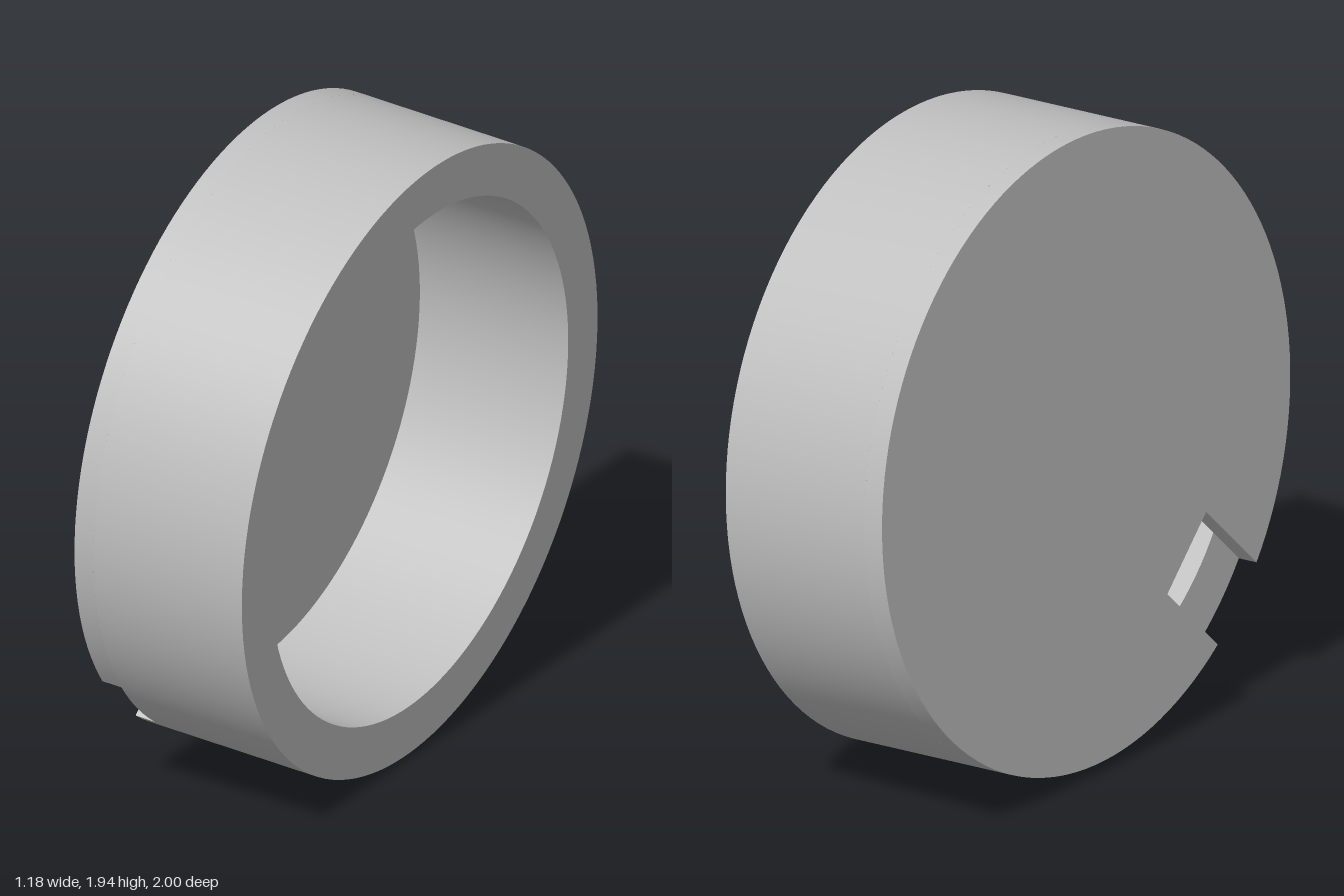
import * as THREE from 'three';
import { toCreasedNormals } from 'three/addons/utils/BufferGeometryUtils.js';

const RADIUS = 0.958, INNER = 0.8, LENGTH = 0.573, FLOOR = 0.065;
const SLOT_HALF = 0.137, SLOT_INNER = 0.632;

export function createModel() {
  const grey = new THREE.MeshStandardMaterial({ color: 0xbfbfbf });
  grey.name = 'plain grey';
  const cap = new THREE.Group();
  cap.name = 'cap';

  // Extrudes a shape along the cap axis with smooth curves and sharp rims
  function addPart(name, shape, start, depth) {
    const geo = new THREE.ExtrudeGeometry(shape, { depth, bevelEnabled: false, curveSegments: 64 });
    geo.translate(0, 0, start);
    const mesh = new THREE.Mesh(toCreasedNormals(geo, 0.5), grey);
    mesh.name = name;
    cap.add(mesh);
  }

  // Closed end: a disc with a rectangular slot cut in from the rim
  const a = Math.asin(SLOT_HALF / RADIUS);
  const disc = new THREE.Shape();
  disc.moveTo(SLOT_INNER, SLOT_HALF);
  disc.lineTo(RADIUS * Math.cos(a), SLOT_HALF);
  disc.absarc(0, 0, RADIUS, a, Math.PI * 2 - a, false);
  disc.lineTo(SLOT_INNER, -SLOT_HALF);
  disc.closePath();
  addPart('slottedFloor', disc, 0, FLOOR);

  // Round side wall, open at the far end
  const ring = new THREE.Shape().absarc(0, 0, RADIUS, 0, Math.PI * 2, false);
  ring.holes.push(new THREE.Path().absarc(0, 0, INNER, 0, Math.PI * 2, true));
  addPart('sideWall', ring, FLOOR, LENGTH - FLOOR);

  // Tilt: local z follows the cap axis, local x points at the slot
  const axis = new THREE.Vector3(0.54, -0.03, -0.19).normalize();
  const slot = new THREE.Vector3(0.125, -0.45, 0.4255);
  slot.addScaledVector(axis, -slot.dot(axis)).normalize();
  const side = new THREE.Vector3().crossVectors(axis, slot);
  cap.quaternion.setFromRotationMatrix(new THREE.Matrix4().makeBasis(slot, side, axis));
  cap.position.set(-0.27, 0.987, 0.095);

  const model = new THREE.Group();
  model.name = 'tiltedCap';
  model.add(cap);
  return model;
}
